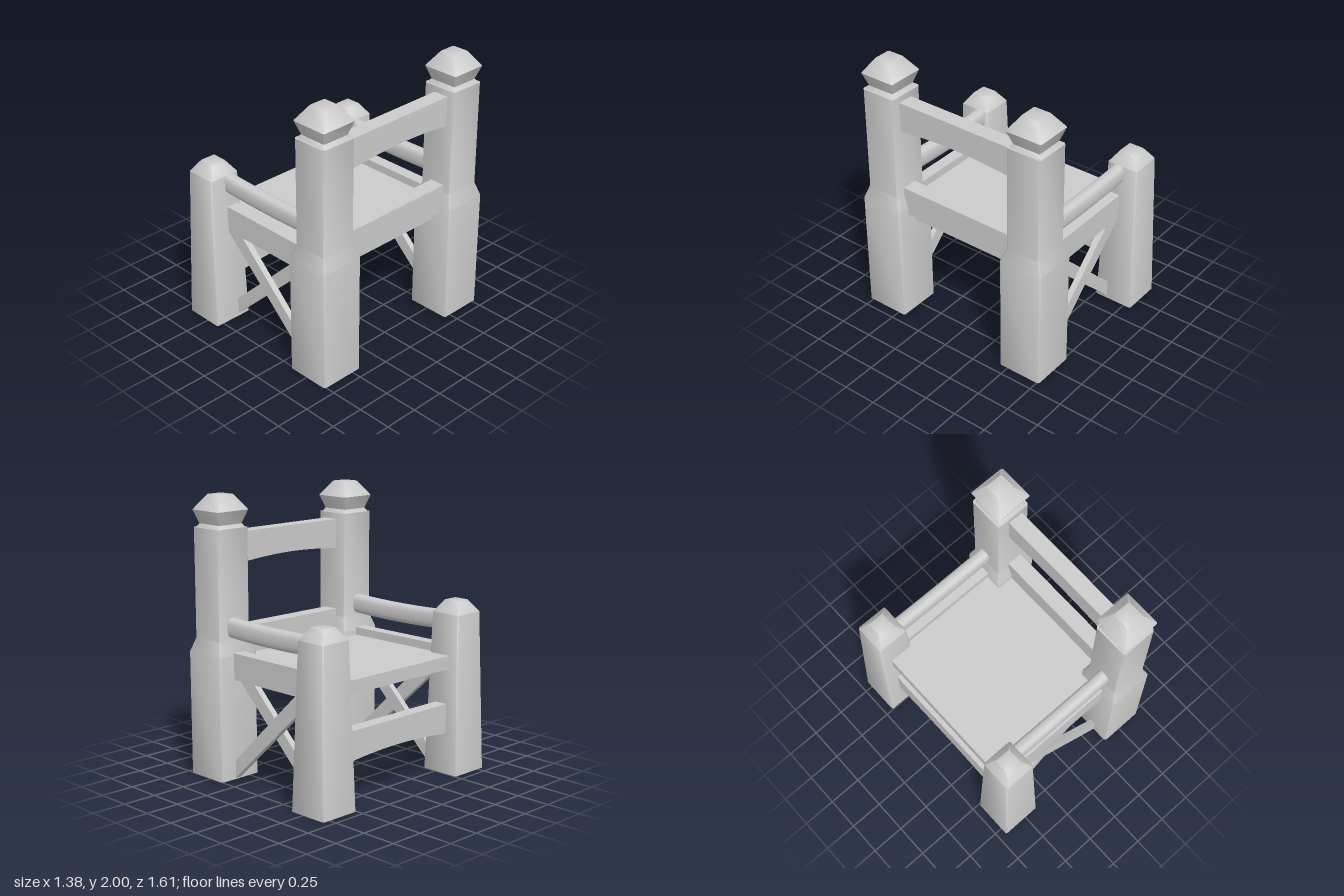
import * as THREE from 'three';
import { toCreasedNormals } from 'three/addons/utils/BufferGeometryUtils.js';

const material = new THREE.MeshStandardMaterial({ color: 0xcccccc });

function add(parent, name, geometry, x = 0, y = 0, z = 0) {
  const mesh = new THREE.Mesh(geometry, material);
  mesh.name = name;
  mesh.position.set(x, y, z);
  parent.add(mesh);
  return mesh;
}

// Closed solid through a list of rings, capped at both ends
function loft(rings, crease) {
  const n = rings[0].length;
  const index = [];
  const last = (rings.length - 1) * n;
  for (let i = 0; i < rings.length - 1; i++) {
    for (let j = 0; j < n; j++) {
      const a = i * n + j, b = i * n + (j + 1) % n;
      index.push(a, a + n, b + n, a, b + n, b);
    }
  }
  for (let j = 1; j < n - 1; j++) {
    index.push(0, j, j + 1, last, last + j + 1, last + j);
  }
  const geometry = new THREE.BufferGeometry();
  geometry.setAttribute('position', new THREE.Float32BufferAttribute(rings.flat(2), 3));
  geometry.setIndex(index);
  return toCreasedNormals(geometry, crease);
}

// Square post with slightly bevelled corners; profile is [y, half width] pairs
function post(profile, bevel) {
  const rings = profile.map(([y, h]) => {
    const k = h - bevel;
    return [[h, -k], [h, k], [k, h], [-k, h], [-h, k], [-h, -k], [-k, -h], [k, -h]]
      .map(([x, z]) => [x, y, z]);
  });
  return loft(rings, 0.85);
}

// Sagging armrest with a rounded oblong section, running along x
function armrest(x0, x1) {
  const rings = [];
  for (let i = 0; i <= 10; i++) {
    const t = i / 10;
    const sag = 0.012 * (1 - (2 * t - 1) ** 2);
    const ring = [];
    for (let j = 0; j < 20; j++) {
      const a = j / 20 * Math.PI * 2;
      const c = Math.cos(a), s = Math.sin(a);
      const u = 0.048 * Math.sign(c) * Math.abs(c) ** 0.7;
      const v = 0.069 * Math.sign(s) * Math.abs(s) ** 0.7;
      ring.push([x0 + (x1 - x0) * t, 1.093 - sag + v, u]);
    }
    rings.push(ring);
  }
  return loft(rings, 0.9);
}

// Crosswise slat with a flat top and an arched underside
function slat(halfLength, bottom, rise, top, depth) {
  const shape = new THREE.Shape();
  shape.moveTo(-halfLength, bottom);
  shape.quadraticCurveTo(0, bottom + 2 * rise, halfLength, bottom);
  shape.lineTo(halfLength, top);
  shape.lineTo(-halfLength, top);
  const geometry = new THREE.ExtrudeGeometry(shape, { depth, bevelEnabled: false, curveSegments: 16 });
  geometry.rotateY(Math.PI / 2);
  return toCreasedNormals(geometry, 0.5);
}

function brace(points) {
  const shape = new THREE.Shape(points.map(([x, y]) => new THREE.Vector2(x, y)));
  return new THREE.ExtrudeGeometry(shape, { depth: 0.045, bevelEnabled: false });
}

export function createModel() {
  const model = new THREE.Group();
  model.name = 'chair';

  const tallPost = post([[0.01, 0.168], [0.9, 0.168], [1.0, 0.135], [1.775, 0.135]], 0.012);
  const finial = post([[1.77, 0.125], [1.8, 0.106], [1.895, 0.139], [2.0, 0.066]], 0.008);
  const shortPost = post([[0, 0.151], [1.155, 0.119], [1.2, 0.088], [1.24, 0.06]], 0.008);
  const arm = armrest(-0.46, 0.42);
  const sideRail = new THREE.BoxGeometry(0.84, 0.19, 0.09);
  const fallingBrace = brace([[-0.42, 0.73], [-0.42, 0.735], [-0.27, 0.735], [0.37, 0.13], [0.37, 0]]);
  const risingBrace = brace([[-0.41, 0.005], [0.36, 0.735], [0.22, 0.735], [-0.41, 0.13]]);

  // Both sides: posts, armrest, seat rail and crossed braces
  for (const s of [1, -1]) {
    const side = new THREE.Group();
    side.name = s > 0 ? 'frontSide' : 'backSide';
    add(side, 'tallPost', tallPost, 0.518, 0, s * 0.605);
    add(side, 'finial', finial, 0.518, 0, s * 0.605);
    add(side, 'shortPost', shortPost, -0.54, 0, s * 0.655);
    add(side, 'armrest', arm, 0, 0, s > 0 ? 0.61 : -0.625);
    add(side, 'sideRail', sideRail, -0.025, 0.823, s * 0.603);
    add(side, 'outerBrace', fallingBrace, 0, 0, s > 0 ? 0.602 : -0.647);
    add(side, 'innerBrace', risingBrace, 0, 0, s > 0 ? 0.557 : -0.602);
    model.add(side);
  }

  // Seat board
  add(model, 'seat', new THREE.BoxGeometry(1.11, 0.095, 1.16), -0.035, 0.8125, 0);

  // Backrest slats and the stretcher between the short posts
  add(model, 'upperSlat', slat(0.52, 1.505, 0.035, 1.73, 0.115), 0.475, 0, 0);
  add(model, 'lowerSlat', slat(0.52, 0.832, 0.035, 1.055, 0.115), 0.475, 0, 0);
  add(model, 'stretcher', slat(0.57, 0.285, 0.04, 0.51, 0.1), -0.58, 0, 0);

  return model;
}
